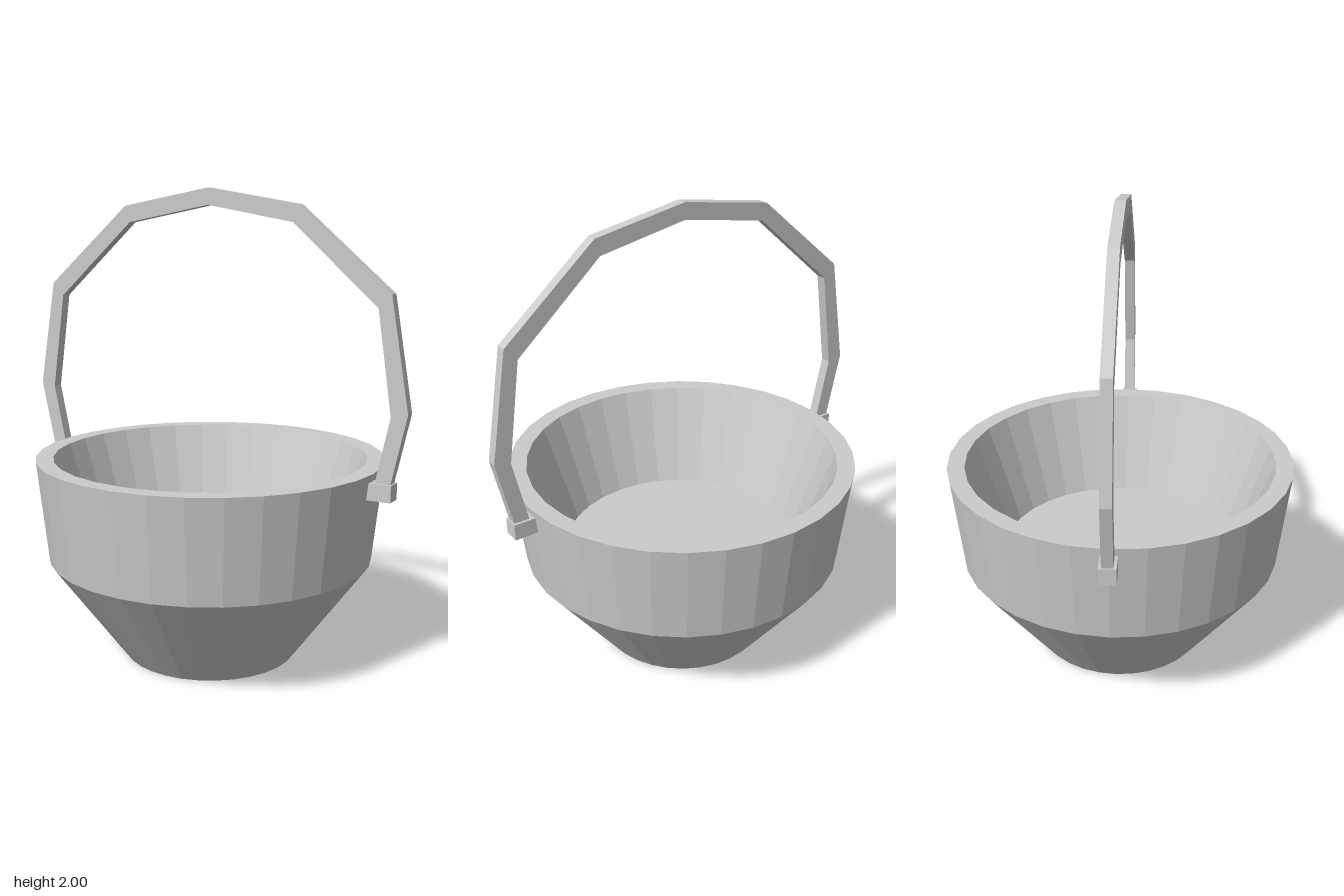
import * as THREE from 'three';

export function createModel() {
  const group = new THREE.Group();
  group.name = 'bucket';
  const material = new THREE.MeshStandardMaterial({ color: 0xcccccc, flatShading: true });

  const add = (name, geometry, x = 0, y = 0, z = 0) => {
    const mesh = new THREE.Mesh(geometry, material);
    mesh.name = name;
    mesh.position.set(x, y, z);
    group.add(mesh);
    return mesh;
  };

  // Bowl: closed base, two-stage outer wall, flat rim, tapered inside and raised floor
  const profile = [
    [0, 0], [0.375, 0], [0.7, 0.44], [0.748, 0.877],
    [0.673, 0.877], [0.522, 0.44], [0, 0.44],
  ].map(([r, y]) => new THREE.Vector2(r, y));
  add('bowl', new THREE.LatheGeometry(profile, 32));

  // Handle: faceted arch of square bar, mirrored across x = 0
  const outer = [[0.822, 0.82], [0.89, 1.13], [0.81, 1.59], [0.41, 1.93]];
  const inner = [[0.757, 0.82], [0.82, 1.115], [0.757, 1.535], [0.388, 1.86]];
  const arch = (side, crown) => [
    ...side, [0, crown], ...side.map(([x, y]) => [-x, y]).reverse(),
  ];
  const outline = [...arch(outer, 2), ...arch(inner, 1.93).reverse()];
  const shape = new THREE.Shape(outline.map(([x, y]) => new THREE.Vector2(x, y)));
  const depth = 0.046;
  add('handle', new THREE.ExtrudeGeometry(shape, { depth, bevelEnabled: false }), 0, 0, -depth / 2);

  // Lugs joining the handle to the bowl
  for (const [name, side] of [['leftLug', 1], ['rightLug', -1]]) {
    add(name, new THREE.BoxGeometry(0.125, 0.07, 0.07), side * 0.772, 0.81, 0);
  }

  return group;
}
